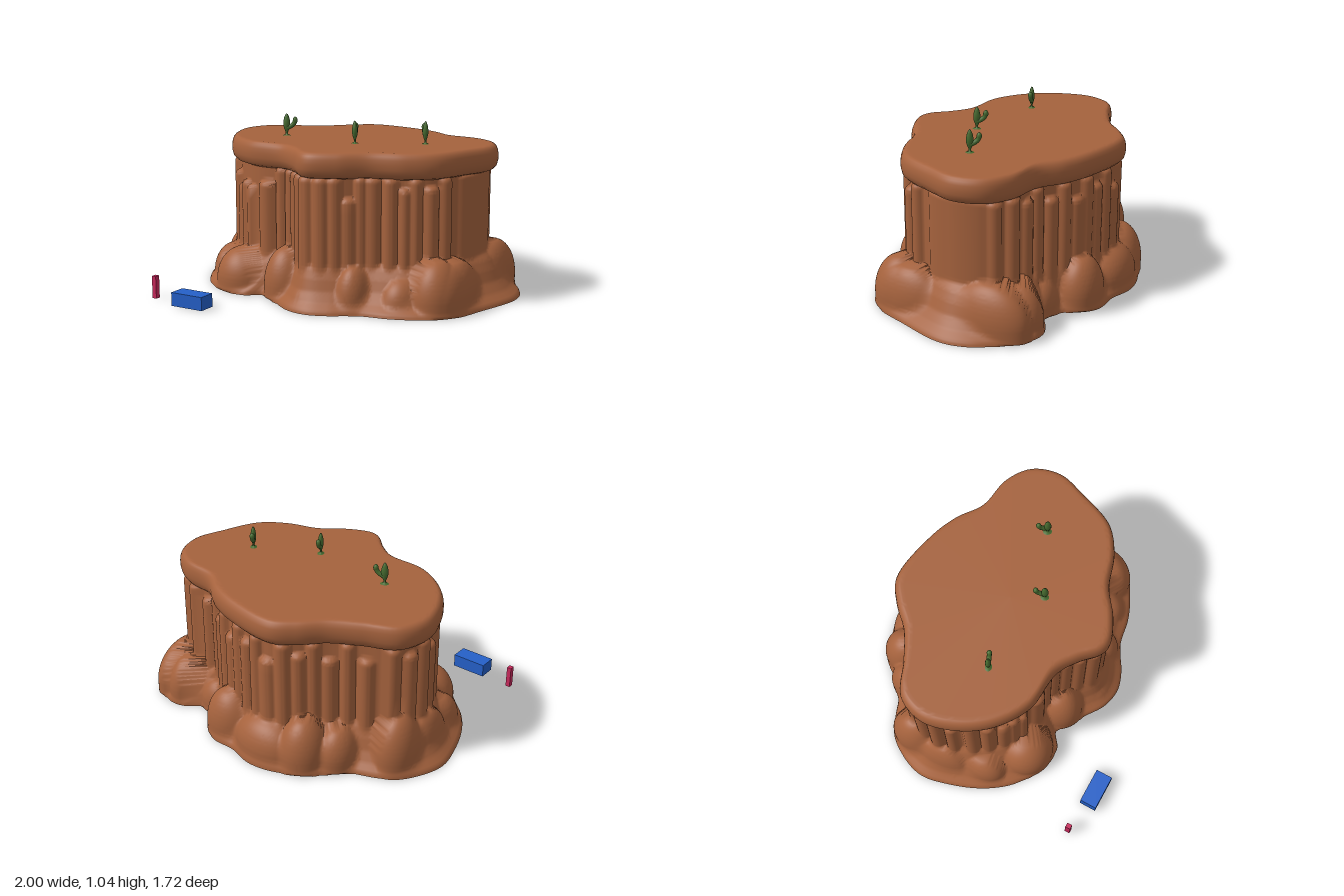
import * as THREE from 'three';
import { toCreasedNormals } from 'three/addons/utils/BufferGeometryUtils.js';

const CZ = -0.1; // centre of the outlines in z
const TAU = Math.PI * 2;
const { lerp } = THREE.MathUtils;

// Plan outlines as [x, z]
const CAP = [[0.05, 0.525], [0.2, 0.465], [0.35, 0.36], [0.55, 0.29], [0.7, 0.18], [0.8, -0.05], [0.852, -0.23],
  [0.8, -0.4], [0.66, -0.5], [0.45, -0.54], [0.3, -0.64], [0.12, -0.71], [-0.2, -0.75], [-0.33, -0.67],
  [-0.45, -0.55], [-0.62, -0.45], [-0.8, -0.36], [-0.865, -0.2], [-0.82, 0], [-0.7, 0.18], [-0.5, 0.31],
  [-0.25, 0.34], [-0.12, 0.42], [-0.02, 0.51]];
const BASE = [[0.08, 0.625], [0.2, 0.59], [0.36, 0.5], [0.55, 0.46], [0.72, 0.38], [0.85, 0.24], [0.93, 0.03],
  [1.0, -0.25], [0.96, -0.42], [0.85, -0.56], [0.74, -0.66], [0.58, -0.67], [0.48, -0.6], [0.37, -0.64],
  [0.22, -0.79], [0, -0.82], [-0.12, -0.85], [-0.3, -0.82], [-0.48, -0.72], [-0.6, -0.59], [-0.8, -0.5],
  [-0.93, -0.38], [-1, -0.2], [-0.97, -0.02], [-0.88, 0.2], [-0.75, 0.36], [-0.55, 0.46], [-0.44, 0.47],
  [-0.34, 0.41], [-0.2, 0.5], [-0.05, 0.6]];
// Slope of the foot: [share of the way from wall to base outline, height]
const APRON = [[1, 0], [0.96, 0.02], [0.72, 0.06], [0.5, 0.115], [0.36, 0.18], [0.2, 0.235], [0, 0.275], [0, 1]];
// Columns on the cliff: [angle in degrees, radius, top]
const COLUMNS = [[15, 0.045, 0.77], [22, 0.05, 0.72], [29, 0.04, 0.77], [34, 0.035, 0.71], [40, 0.05, 0.77],
  [49, 0.06, 0.77], [57, 0.04, 0.77], [65, 0.06, 0.65], [73, 0.05, 0.77], [81, 0.055, 0.77], [90, 0.055, 0.77],
  [98, 0.05, 0.77], [107, 0.05, 0.77], [117, 0.045, 0.77], [126, 0.04, 0.77], [136, 0.065, 0.68],
  [145, 0.04, 0.64], [150, 0.04, 0.66], [155, 0.045, 0.63], [162, 0.05, 0.7], [169, 0.05, 0.77],
  [177, 0.045, 0.7], [184, 0.05, 0.77], [191, 0.05, 0.72], [198, 0.05, 0.77], [206, 0.05, 0.68],
  [214, 0.045, 0.77], [223, 0.055, 0.66], [232, 0.045, 0.77], [240, 0.05, 0.7], [248, 0.05, 0.77],
  [256, 0.06, 0.65], [264, 0.045, 0.77], [272, 0.05, 0.7], [280, 0.05, 0.77], [288, 0.055, 0.66],
  [297, 0.045, 0.77], [306, 0.05, 0.69], [315, 0.045, 0.77], [322, 0.045, 0.72], [329, 0.05, 0.77], [336, 0.05, 0.77]];
// Boulders at the foot: [x, z, half width, half depth, top]
const BOULDERS = [[-0.54, 0.3, 0.175, 0.17, 0.26], [-0.2, 0.35, 0.14, 0.15, 0.31], [0.27, 0.39, 0.1, 0.12, 0.26],
  [0.52, 0.28, 0.12, 0.14, 0.2], [0.7, 0.2, 0.15, 0.17, 0.31], [0.76, 0.09, 0.12, 0.22, 0.29],
  [0.76, -0.42, 0.13, 0.25, 0.31], [0.64, -0.53, 0.12, 0.15, 0.28], [0.4, -0.53, 0.12, 0.1, 0.2],
  [0.17, -0.67, 0.16, 0.135, 0.3], [-0.14, -0.7, 0.22, 0.145, 0.25], [-0.36, -0.65, 0.14, 0.15, 0.31],
  [-0.51, -0.53, 0.12, 0.14, 0.25], [-0.78, -0.33, 0.13, 0.16, 0.34], [-0.82, -0.12, 0.09, 0.17, 0.27],
  [-0.75, 0.12, 0.11, 0.15, 0.22], [0.01, 0.47, 0.08, 0.09, 0.12]];

// Turns an outline into a smooth radius-by-angle function
function polar(points) {
  const curve = new THREE.CatmullRomCurve3(points.map(([x, z]) => new THREE.Vector3(x, 0, z - CZ)), true);
  const s = curve.getPoints(500).slice(1).map(p => [(Math.atan2(p.z, p.x) + TAU) % TAU, Math.hypot(p.x, p.z)]);
  s.sort((a, b) => a[0] - b[0]);
  return angle => {
    let i = s.findIndex(e => e[0] > angle);
    if (i < 0) i = 0;
    const lo = s[(i + s.length - 1) % s.length], hi = s[i];
    const span = (hi[0] - lo[0] + TAU) % TAU || 1;
    return lerp(lo[1], hi[1], ((angle - lo[0] + TAU) % TAU) / span);
  };
}

// Closed loft through rings { y, r(angle) }, from the bottom centre to the top centre
function loft(rings, crease, n) {
  const pos = [], idx = [];
  rings.forEach(({ y, r }) => {
    for (let j = 0; j < n; j++) {
      const a = j / n * TAU, d = r(a);
      pos.push(Math.cos(a) * d, y, CZ + Math.sin(a) * d);
    }
  });
  const bottom = pos.length / 3, top = bottom + 1, last = (rings.length - 1) * n;
  pos.push(0, rings[0].y, CZ, 0, rings.at(-1).y, CZ);
  for (let j = 0; j < n; j++) {
    const k = (j + 1) % n;
    for (let i = 0; i < rings.length - 1; i++) {
      const a = i * n + j, b = i * n + k;
      idx.push(a, a + n, b, b, a + n, b + n);
    }
    idx.push(bottom, j, k, top, last + k, last + j);
  }
  const g = new THREE.BufferGeometry();
  g.setAttribute('position', new THREE.Float32BufferAttribute(pos, 3));
  g.setIndex(idx);
  return toCreasedNormals(g, crease);
}

// Far distance at which a ray from the centre leaves an ellipse, or 0 if it misses
function leaveEllipse(a, x, z, rx, rz) {
  const c = Math.cos(a) / rx, s = Math.sin(a) / rz, px = x / rx, pz = (z - CZ) / rz;
  const A = c * c + s * s, B = c * px + s * pz, D = B * B - A * (px * px + pz * pz - 1);
  return D > 0 && B > 0 ? (B + Math.sqrt(D)) / A : 0;
}

// Maximum with a soft seam
function blend(a, b, k) {
  const h = Math.max(k - Math.abs(a - b), 0) / k;
  return Math.max(a, b) + h * h * k * 0.25;
}

// Share of the foot slope left at a height
function slope(y) {
  const i = APRON.findIndex(p => p[1] > y), [t0, y0] = APRON[i - 1], [t1, y1] = APRON[i];
  return lerp(t0, t1, (y - y0) / (y1 - y0));
}

export function createModel() {
  const model = new THREE.Group();
  const mat = (name, color) => Object.assign(new THREE.MeshStandardMaterial({ color }), { name });
  const rock = mat('red rock', 0xa5623d);
  const green = mat('cactus green', 0x466b30);
  const blue = mat('blue', 0x2560c8);
  const red = mat('crimson', 0xc8285c);
  const add = (parent, name, geometry, material, x = 0, y = 0, z = 0) => {
    const m = new THREE.Mesh(geometry, material);
    m.name = name;
    m.position.set(x, y, z);
    parent.add(m);
    return m;
  };
  const cap = polar(CAP), base = polar(BASE);

  // Every bulge is an ellipse that shrinks to nothing between its shoulder and its top
  const bulges = BOULDERS.map(([x, z, rx, rz, top]) => ({ x, z, rx, rz, top, shoulder: top * 0.25, soft: 0.04 }));
  COLUMNS.forEach(([deg, r, top]) => {
    const a = deg / 360 * TAU, d = cap(a) - 0.018 - r;
    bulges.push({ x: Math.cos(a) * d, z: CZ + Math.sin(a) * d, rx: r, rz: r, top, shoulder: top - 0.04, soft: 0.015 });
  });
  // Broad smooth buttress on the left side
  bulges.push({ x: 0.72, z: -0.21, rx: 0.075, rz: 0.2, top: 0.78, shoulder: 0.74, soft: 0.015 });

  // Cliff, columns, boulders and foot slope as one blended surface
  const bodyRadius = y => {
    const t = slope(y);
    const active = bulges.filter(b => y < b.top).map(b => {
      const u = Math.max(0, (y - b.shoulder) / (b.top - b.shoulder));
      return { ...b, s: Math.sqrt(1 - u * u) };
    });
    return a => {
      let r = lerp(cap(a) - 0.058, base(a), t);
      active.forEach(b => {
        const hit = leaveEllipse(a, b.x, b.z, b.rx * b.s, b.rz * b.s);
        if (hit) r = blend(r, hit, b.soft);
      });
      // The ground line keeps to the base outline
      return y === 0 ? Math.min(r, base(a) + 0.01) : r;
    };
  };
  const heights = [];
  for (let i = 0; i <= 35; i++) heights.push(i * 0.01);
  heights.push(0.45, 0.55);
  for (let i = 0; i <= 18; i++) heights.push(0.61 + i * 0.01);
  const underside = { y: 0, r: a => base(a) - 0.04 };
  add(model, 'cliffBody', loft([underside, ...heights.map(y => ({ y, r: bodyRadius(y) }))], 1.4, 480), rock);

  // Overhanging rounded cap with a flat top
  const capRings = [[-0.09, 0.74], [-0.06, 0.75], [-0.025, 0.762], [-0.008, 0.78], [0, 0.81], [0.001, 0.84],
    [-0.003, 0.866], [-0.011, 0.886], [-0.022, 0.898], [-0.034, 0.904], [-0.042, 0.905], [-0.06, 0.905]];
  add(model, 'plateauCap', loft(capRings.map(([d, y]) => ({ y, r: a => cap(a) + d })), 0.75, 240), rock);

  // Cacti: trunk position and turn of the arm
  const trunk = [[0.026, 0], [0.008, 0.006], [0.007, 0.02], [0.014, 0.036], [0.021, 0.06], [0.021, 0.085],
    [0.015, 0.112], [0.007, 0.129], [0, 0.135]].map(p => new THREE.Vector2(...p));
  const armPath = new THREE.CatmullRomCurve3([[0, 0.045, 0], [0.024, 0.056, 0], [0.044, 0.072, 0], [0.054, 0.096, 0]]
    .map(p => new THREE.Vector3(...p)));
  [[-0.428, -0.002, 0.36], [0.095, 0.072, 1.98], [0.465, -0.112, 2.17]].forEach(([x, z, turn]) => {
    const cactus = new THREE.Group();
    cactus.name = 'cactus';
    cactus.position.set(x, 0.905, z);
    cactus.rotation.y = turn;
    add(cactus, 'cactusTrunk', new THREE.LatheGeometry(trunk, 14), green).scale.z = 0.8;
    add(cactus, 'cactusArm', new THREE.TubeGeometry(armPath, 10, 0.014, 10), green);
    add(cactus, 'cactusArmTip', new THREE.SphereGeometry(0.0155, 12, 8), green, 0.053, 0.094, 0).scale.y = 1.4;
    model.add(cactus);
  });

  // Plain blocks standing in front of the rock
  add(model, 'blueBlock', new THREE.BoxGeometry(0.215, 0.08, 0.104), blue, -0.566, 0.04, 0.808);
  add(model, 'redPost', new THREE.BoxGeometry(0.028, 0.135, 0.032), red, -0.858, 0.0675, 0.772);

  return model;
}
